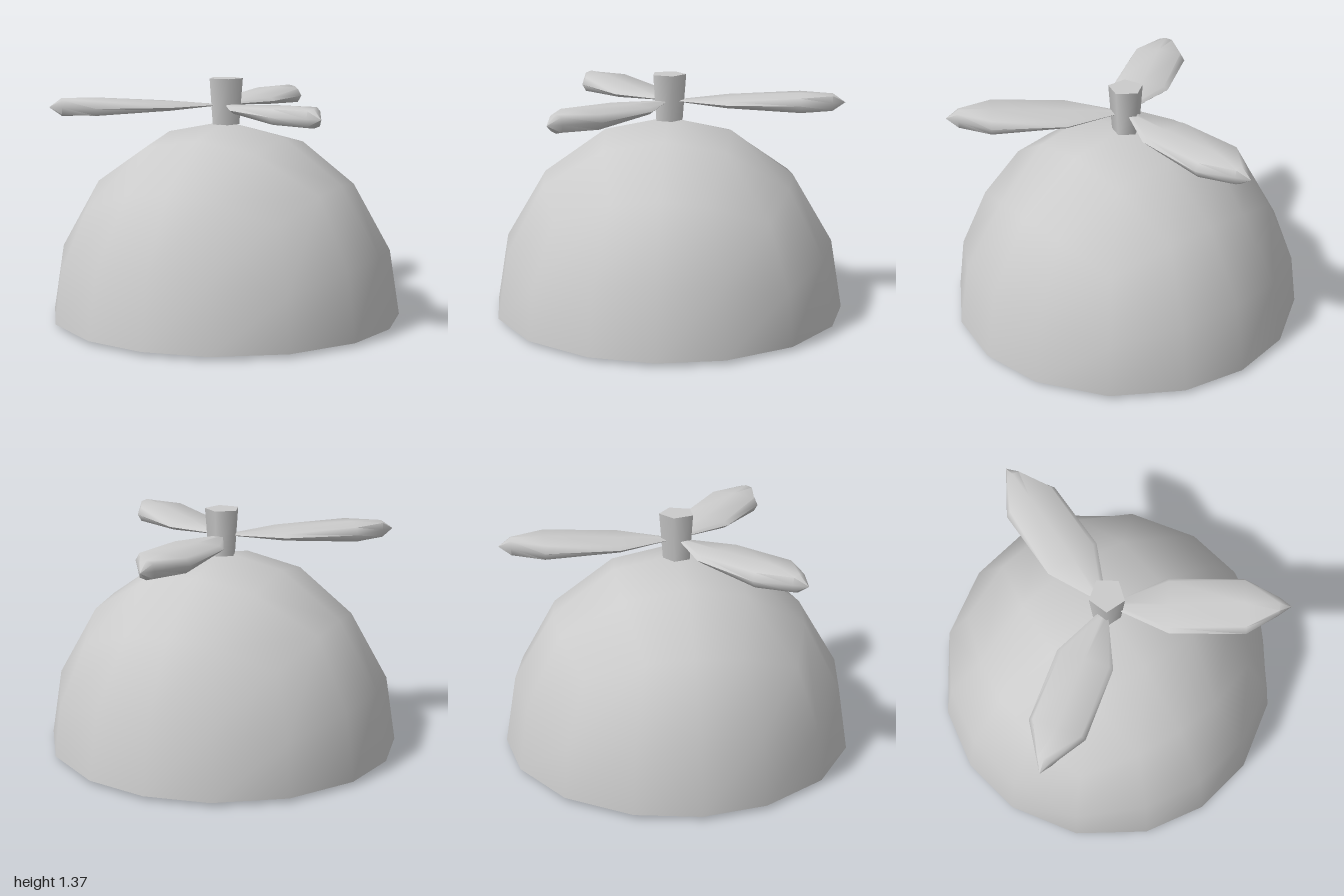
import * as THREE from 'three';
import { mergeVertices, toCreasedNormals } from 'three/addons/utils/BufferGeometryUtils.js';

const grey = new THREE.MeshStandardMaterial({ color: 0xcccccc });
const MID = 0.384; // grid position of the vertices halfway between face centre and edge

function addMesh(parent, name, geometry) {
  const mesh = new THREE.Mesh(geometry, grey);
  mesh.name = name;
  parent.add(mesh);
  return mesh;
}

// Half of a box inflated to a dome; the rim ring may have its own radius
function domeGeometry({ radius, rimRadius, height, base, inward }) {
  let geometry = new THREE.BoxGeometry(2, 1, 2, 4, 2, 4).translate(0, 0.5, 0);
  geometry.deleteAttribute('normal');
  geometry.deleteAttribute('uv');
  geometry = mergeVertices(geometry);

  // leave the underside open
  const position = geometry.attributes.position;
  const source = geometry.index.array;
  const index = [];
  for (let i = 0; i < source.length; i += 3) {
    const [a, b, c] = source.slice(i, i + 3);
    if (position.getY(a) + position.getY(b) + position.getY(c) < 0.01) continue;
    index.push(...(inward ? [a, c, b] : [a, b, c]));
  }
  geometry.setIndex(index);

  const spread = (t) => (Math.abs(Math.abs(t) - 0.5) < 0.01 ? Math.sign(t) * MID : t);
  const p = new THREE.Vector3();
  for (let i = 0; i < position.count; i++) {
    p.fromBufferAttribute(position, i);
    p.set(spread(p.x), spread(p.y), spread(p.z)).normalize();
    const r = p.y < 0.01 ? rimRadius : radius;
    position.setXYZ(i, p.x * r, base + p.y * height, p.z * r);
  }
  geometry.computeVertexNormals();
  return geometry;
}

// Sixteen-sided band joining the two shells along the bottom
function rimGeometry(inner, outer, outerY) {
  const tilt = Math.atan(MID);
  const positions = [];
  const index = [];
  for (let i = 0; i < 16; i++) {
    const angle = Math.floor(i / 4) * Math.PI / 2 + [0, tilt, Math.PI / 4, Math.PI / 2 - tilt][i % 4];
    const x = Math.sin(angle);
    const z = Math.cos(angle);
    positions.push(x * inner, 0, z * inner, x * outer, outerY, z * outer);
    const a = i * 2;
    const b = (a + 2) % 32;
    index.push(a, b, a + 1, b, b + 1, a + 1);
  }
  const geometry = new THREE.BufferGeometry();
  geometry.setAttribute('position', new THREE.Float32BufferAttribute(positions, 3));
  geometry.setIndex(index);
  geometry.computeVertexNormals();
  return geometry;
}

// Leaf-shaped blade pointing to -z, skinned over eight-point sections
function bladeGeometry() {
  // distance from the hub axis, half width, half thickness
  const stations = [
    [0.05, 0.025, 0.004], [0.33, 0.158, 0.022],
    [0.74, 0.158, 0.05], [0.92, 0.045, 0.05], [0.99, 0, 0],
  ];
  const section = [
    [1, 0], [0.85, 0.8], [0, 1], [-0.85, 0.8],
    [-1, 0], [-0.85, -0.8], [0, -1], [0.85, -0.8],
  ];
  const n = section.length;
  const positions = [];
  const index = [];
  for (const [r, w, h] of stations) {
    for (const [x, y] of section) positions.push(x * w, y * h, -r);
  }
  for (let i = 0; i < stations.length - 1; i++) {
    for (let j = 0; j < n; j++) {
      const a = i * n + j;
      const b = i * n + (j + 1) % n;
      index.push(a, a + n, b);
      // the last ring collapses into the pointed tip
      if (i < stations.length - 2) index.push(b, a + n, b + n);
    }
  }
  const geometry = new THREE.BufferGeometry();
  geometry.setAttribute('position', new THREE.Float32BufferAttribute(positions, 3));
  geometry.setIndex(index);
  return toCreasedNormals(geometry, 1.2);
}

export function createModel() {
  const model = new THREE.Group();
  model.name = 'propellerCap';

  // Thick domed cap
  const cap = new THREE.Group();
  cap.name = 'cap';
  model.add(cap);
  addMesh(cap, 'capOuter', domeGeometry({ radius: 1, rimRadius: 1, height: 1.1, base: 0.02, inward: false }));
  addMesh(cap, 'capLining', domeGeometry({ radius: 0.94, rimRadius: 0.91, height: 1.04, base: 0, inward: true }));
  addMesh(cap, 'capRim', rimGeometry(0.91, 1, 0.02));

  // Five-sided hub, widening upwards
  const propeller = new THREE.Group();
  propeller.name = 'propeller';
  model.add(propeller);
  const hub = addMesh(propeller, 'hub', new THREE.CylinderGeometry(0.1, 0.08, 0.26, 5));
  hub.position.y = 1.235;
  hub.rotation.y = Math.PI;

  // Three blades: one back, two angled to the front
  const blade = bladeGeometry();
  for (const [name, degrees] of [['bladeBack', 0], ['bladeLeft', -125], ['bladeRight', 125]]) {
    const mesh = addMesh(propeller, name, blade);
    mesh.position.y = 1.215;
    mesh.rotation.y = THREE.MathUtils.degToRad(degrees);
  }
  return model;
}
